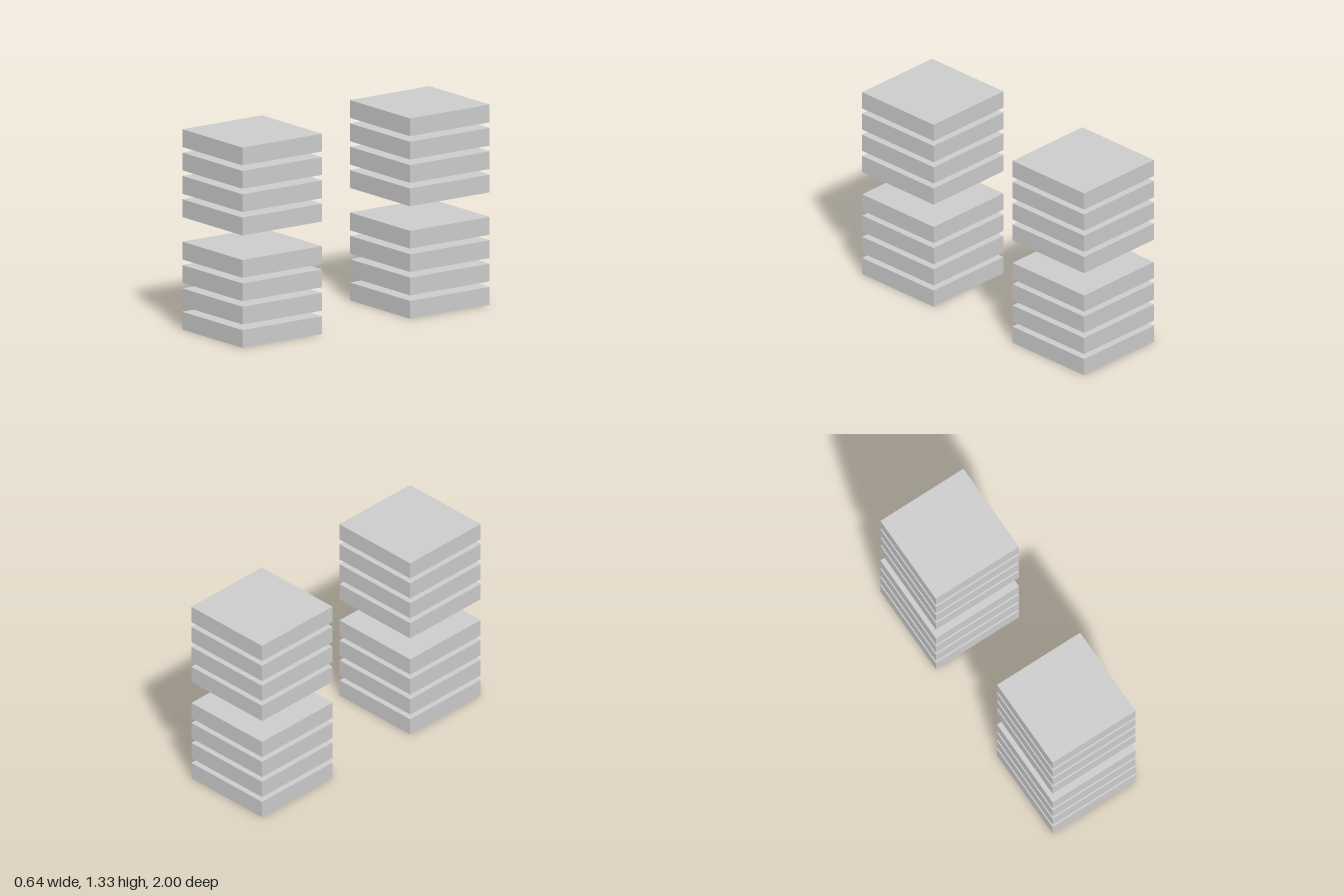
import * as THREE from 'three';

const WIDTH = 0.645, THICKNESS = 0.118; // one square slab
const PITCH = 0.155;                    // slab spacing within a stack
const TIER = 0.746;                     // base of the upper stack
const SLABS = 4;

export function createModel() {
  const model = new THREE.Group();
  model.name = 'slabStacks';
  const material = new THREE.MeshStandardMaterial({ color: 0xcccccc, flatShading: true });
  const slabGeometry = new THREE.BoxGeometry(WIDTH, THICKNESS, WIDTH);

  // Four separate slabs, one above another
  function makeStack(name, y, z) {
    const stack = new THREE.Group();
    stack.name = name;
    stack.position.set(0, y, z);
    for (let i = 0; i < SLABS; i++) {
      const slab = new THREE.Mesh(slabGeometry, material);
      slab.name = `slab${i + 1}`;
      slab.position.y = THICKNESS / 2 + i * PITCH;
      stack.add(slab);
    }
    return stack;
  }

  // Lower and upper stacks at the front and back
  const z = 1 - WIDTH / 2;
  for (const [side, sign] of [['front', 1], ['back', -1]]) {
    model.add(makeStack(`${side}LowerStack`, 0, sign * z));
    model.add(makeStack(`${side}UpperStack`, TIER, sign * z));
  }
  return model;
}
